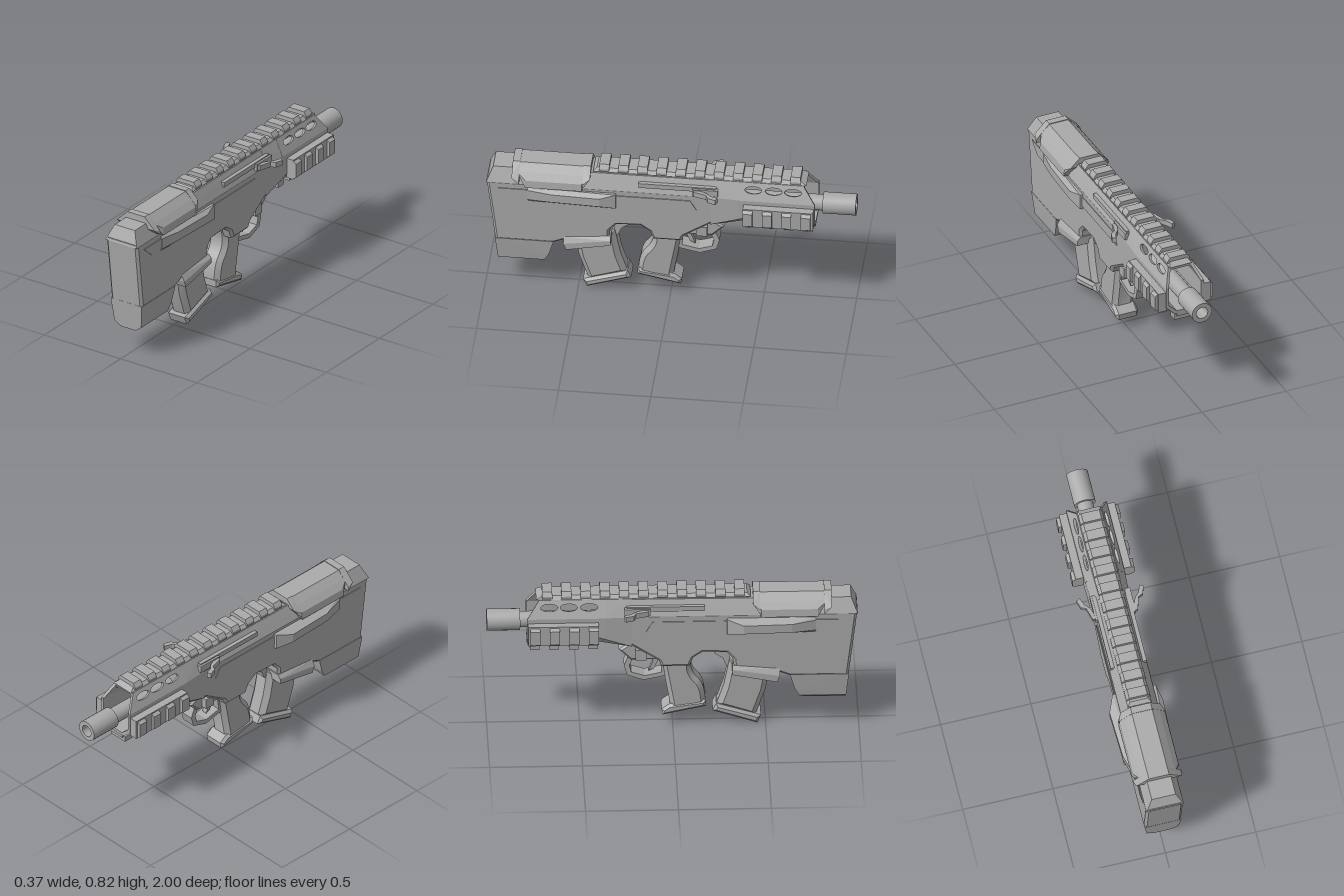
import * as THREE from 'three';
import { toCreasedNormals } from 'three/addons/utils/BufferGeometryUtils.js';
import { ConvexGeometry } from 'three/addons/geometries/ConvexGeometry.js';

export function createModel() {
  const model = new THREE.Group();
  const grey = new THREE.MeshStandardMaterial({ color: 0xaaaaaa });
  grey.name = 'gunmetal grey';

  const add = (name, geo) => {
    const m = new THREE.Mesh(geo, grey);
    m.name = name;
    model.add(m);
    return m;
  };
  const shapeOf = pts => new THREE.Shape(pts.map(p => new THREE.Vector2(p[0], p[1])));
  const box = (name, w, h, d, x, y, z) =>
    add(name, new THREE.BoxGeometry(w, h, d).translate(x, y, z));

  // Side profile in (z, y), extruded across x and centred on x = cx
  const side = (name, shape, half, bevel = 0, cx = 0) => {
    const depth = 2 * (half - bevel);
    const g = new THREE.ExtrudeGeometry(shape, {
      depth, bevelEnabled: bevel > 0, bevelSize: bevel, bevelThickness: bevel,
      bevelOffset: -bevel, bevelSegments: 1, curveSegments: 8,
    });
    g.translate(0, 0, -depth / 2).rotateY(-Math.PI / 2).translate(cx, 0, 0);
    return add(name, toCreasedNormals(g, 0.5));
  };
  // Convex part from [x, y, z] corners, mirrored across x when asked
  const hull = (name, pts, mirror = true) => {
    const all = mirror ? pts.concat(pts.map(([x, y, z]) => [-x, y, z])) : pts;
    return add(name, new ConvexGeometry(all.map(p => new THREE.Vector3(...p))));
  };

  // Receiver and stock
  side('receiver', shapeOf([
    [0.993, 0.705], [0.945, 0.31], [0.63, 0.31], [0.57, 0.335], [0.33, 0.35], [0.325, 0.42],
    [0.29, 0.46], [0.16, 0.465], [0.11, 0.43], [0.09, 0.38], [-0.06, 0.38], [-0.075, 0.415],
    [-0.22, 0.51], [-0.25, 0.53], [-0.25, 0.705],
  ]), 0.103, 0.014);
  hull('receiverTop', [
    [0.103, 0.69, 0.995], [0.066, 0.775, 0.96], [0.066, 0.78, -0.24], [0.103, 0.69, -0.24],
  ]);
  hull('buttLower', [
    [0.05, 0.157, 0.93], [0.05, 0.157, 0.72], [0.088, 0.185, 0.932], [0.088, 0.185, 0.68],
    [0.094, 0.23, 0.655], [0.102, 0.32, 0.947], [0.102, 0.32, 0.63],
  ]);

  // Cheek rest: raised saddle with a rib at each end
  const arch = (z, yb, k) => {
    const xb = yb < 0.735 ? 0.131 : 0.131 - (yb - 0.735);
    const pts = [[xb + k, yb, z], [0.056, 0.808 + k, z]];
    if (yb < 0.735) pts.push([0.126 + k, 0.735, z]);
    return pts;
  };
  hull('cheekRest', [
    ...arch(0.83, 0.77, 0), ...arch(0.78, 0.692, 0), ...arch(0.475, 0.692, 0), ...arch(0.445, 0.77, 0),
  ]);
  hull('cheekRibRear', [...arch(0.855, 0.745, 0.004), ...arch(0.815, 0.71, 0.004)]);
  hull('cheekRibFront', [...arch(0.47, 0.71, 0.004), ...arch(0.432, 0.76, 0.004)]);

  // Handguard: solid transition, then an open shell with slotted upper panels
  hull('handguardTransition', [
    [0.103, 0.51, -0.22], [0.103, 0.69, -0.22], [0.066, 0.782, -0.22], [0.06, 0.52, -0.39],
    [0.112, 0.57, -0.39], [0.112, 0.69, -0.39], [0.07, 0.785, -0.39],
  ]);
  const halfU = [[0.112, 0.69], [0.112, 0.57], [0.06, 0.52]];
  const innerU = [[0.05, 0.538], [0.095, 0.58], [0.095, 0.69]];
  const flip = a => a.slice().reverse().map(([x, y]) => [-x, y]);
  const channel = shapeOf([...halfU, ...flip(halfU), ...flip(innerU), ...innerU]);
  add('handguardShell', new THREE.ExtrudeGeometry(channel, { depth: 0.42, bevelEnabled: false })
    .translate(0, 0, -0.785));
  box('handguardRoof', 0.14, 0.02, 0.36, 0, 0.775, -0.545);
  const panel = shapeOf([[-0.36, 0], [-0.785, 0], [-0.72, 0.104], [-0.36, 0.104]]);
  for (const z of [-0.45, -0.56, -0.665]) {
    const slot = new THREE.Path();
    slot.absellipse(z, 0.062, 0.046, 0.02, 0, Math.PI * 2);
    panel.holes.push(slot);
  }
  for (const s of [1, -1]) {
    const up = new THREE.Vector3(-0.404 * s, 0.914, 0).normalize();
    const out = new THREE.Vector3(0, 0, 1);
    const m = new THREE.Matrix4().makeBasis(out, up, out.clone().cross(up)).setPosition(0.112 * s, 0.69, 0);
    const g = new THREE.ExtrudeGeometry(panel, { depth: 0.016, bevelEnabled: false, curveSegments: 14 });
    g.translate(0, 0, s > 0 ? 0 : -0.016).applyMatrix4(m);
    add(s > 0 ? 'leftSlottedPanel' : 'rightSlottedPanel', g);
  }

  // Accessory rails on the sides and bottom of the handguard
  box('bottomRail', 0.09, 0.025, 0.38, 0, 0.511, -0.59);
  for (const s of [1, -1]) box('sideRail', 0.045, 0.115, 0.38, s * 0.132, 0.608, -0.59);
  for (let i = 0; i < 4; i++) {
    const z = -0.427 - i * 0.105;
    box('bottomRailTooth', 0.11, 0.032, 0.052, 0, 0.487, z);
    for (const s of [1, -1]) {
      hull('sideRailTooth', [-1, 1].flatMap(e => [
        [s * 0.145, 0.548, z + e * 0.026], [s * 0.172, 0.565, z + e * 0.026],
        [s * 0.172, 0.645, z + e * 0.026], [s * 0.145, 0.665, z + e * 0.026],
      ]), false);
    }
  }

  // Top rail
  hull('topRailFoot', [
    [0.055, 0.765, 0.41], [0.055, 0.79, 0.41], [0.055, 0.765, -0.725], [0.055, 0.79, -0.71],
  ]);
  hull('topRail', [
    [0.066, 0.785, 0.42], [0.05, 0.803, 0.40], [0.066, 0.785, -0.735], [0.05, 0.803, -0.70],
  ]);
  for (let i = 0; i < 11; i++) {
    const z = 0.36 - i * 0.1035;
    hull('topRailTooth', [-0.027, 0.027].flatMap(d => [
      [0.066, 0.79, z + d], [0.066, 0.803, z + d], [0.05, 0.826, z + d],
    ]));
  }

  // Barrel and hollow muzzle
  add('barrel', new THREE.CylinderGeometry(0.044, 0.044, 0.5, 24).rotateX(Math.PI / 2)
    .translate(0, 0.633, -0.6));
  const muzzle = [[0, 0.1], [0.034, 0.1], [0.034, 0.18], [0.059, 0.18], [0.059, 0], [0, 0]]
    .map(([r, h]) => new THREE.Vector2(r, h)).reverse();
  add('muzzle', toCreasedNormals(new THREE.LatheGeometry(muzzle, 24), 0.6)
    .rotateX(-Math.PI / 2).translate(0, 0.633, -0.82));

  // Grip with a flared foot
  const grip = new THREE.Shape();
  grip.moveTo(0.12, 0.44);
  grip.bezierCurveTo(0.08, 0.36, 0.1, 0.31, 0.14, 0.27);
  grip.quadraticCurveTo(0.175, 0.23, 0.178, 0.12);
  grip.lineTo(-0.03, 0.085);
  grip.lineTo(-0.015, 0.13);
  grip.lineTo(-0.065, 0.42);
  side('grip', grip, 0.062, 0.025);
  side('gripFoot', shapeOf([[0.18, 0.15], [0.18, 0.11], [-0.055, 0.06], [-0.06, 0.095], [-0.02, 0.125]]), 0.067, 0.015);

  // Magazine, its floor plate and the flared well lips
  side('magazine', shapeOf([[0.53, 0.38], [0.5, 0.2], [0.445, 0.04], [0.235, 0.11], [0.275, 0.23], [0.305, 0.38]]), 0.062, 0.028);
  side('magazineFloor', shapeOf([[0.475, 0.05], [0.455, 0.002], [0.215, 0.082], [0.235, 0.125]]), 0.068, 0.015);
  hull('magazineWell', [
    [0.103, 0.36, 0.575], [0.122, 0.325, 0.575], [0.122, 0.287, 0.56], [0.07, 0.287, 0.56],
    [0.103, 0.385, 0.32], [0.122, 0.365, 0.32], [0.122, 0.335, 0.32], [0.07, 0.335, 0.32],
  ]);
  side('magazineRelease', shapeOf([[0.31, 0.44], [0.25, 0.46], [0.225, 0.42], [0.27, 0.39], [0.29, 0.34], [0.31, 0.34]]), 0.03);

  // Trigger group
  const guard = shapeOf([[-0.05, 0.42], [-0.22, 0.46], [-0.262, 0.36], [-0.245, 0.3], [-0.155, 0.268], [-0.03, 0.295]]);
  guard.holes.push(new THREE.Path([[-0.07, 0.4], [-0.21, 0.41], [-0.232, 0.36], [-0.222, 0.318], [-0.15, 0.295], [-0.058, 0.315]]
    .map(p => new THREE.Vector2(...p))));
  side('triggerGuard', guard, 0.04);
  side('trigger', shapeOf([[-0.075, 0.42], [-0.115, 0.42], [-0.105, 0.37], [-0.128, 0.31], [-0.1, 0.325], [-0.08, 0.37]]), 0.015);
  side('triggerHousing', shapeOf([[-0.05, 0.4], [-0.12, 0.5], [-0.22, 0.515], [-0.29, 0.465], [-0.225, 0.4]]), 0.06, 0.012);
  box('safetyButton', 0.18, 0.06, 0.06, 0, 0.447, -0.17);

  // Paired details on both flanks
  for (const s of [1, -1]) {
    side('flankPlate', shapeOf([[0.93, 0.66], [-0.11, 0.66], [-0.145, 0.6], [0.86, 0.6]]), 0.004, 0, s * 0.103);
    const w = s > 0 ? 0.14 : 0.158;
    hull('ejectionCover', [
      [0.1, 0.585, 0.77], [0.1, 0.675, 0.77], [0.112, 0.6, 0.77], [0.112, 0.66, 0.77],
      [w - 0.01, 0.605, 0.64], [w - 0.01, 0.655, 0.64], [w, 0.605, 0.38], [w, 0.655, 0.38],
      [0.12, 0.585, 0.292], [0.12, 0.675, 0.292], [0.1, 0.585, 0.29], [0.1, 0.675, 0.29],
    ].map(([x, y, z]) => [s * x, y, z]), false);
    box('handleTrack', 0.03, 0.028, 0.42, s * 0.085, 0.735, -0.04);
    box('handleBase', 0.04, 0.04, 0.14, s * 0.092, 0.722, -0.19);
    const hook = shapeOf([[0.09, -0.13], [0.125, -0.13], [0.145, -0.2], [0.172, -0.212], [0.186, -0.255],
      [0.165, -0.265], [0.15, -0.225], [0.125, -0.2], [0.11, -0.16], [0.09, -0.16]].map(([x, z]) => [s * x, z]));
    add('chargingHandle', new THREE.ExtrudeGeometry(hook, { depth: 0.03, bevelEnabled: false })
      .rotateX(Math.PI / 2).translate(0, 0.735, 0));
  }
  return model;
}
